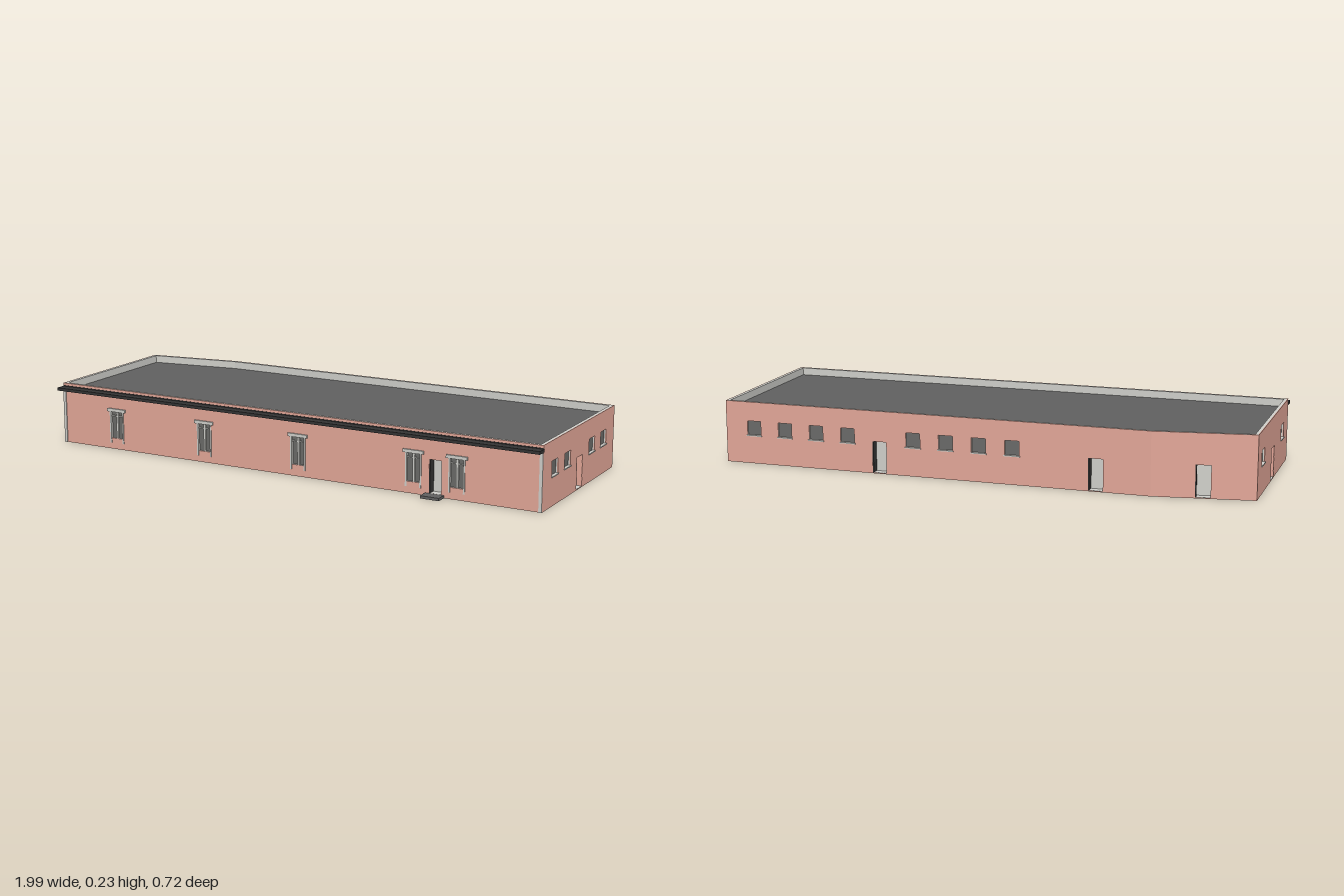
import * as THREE from 'three';

const paint = (name, color) => {
  const m = new THREE.MeshStandardMaterial({ color });
  m.name = name;
  return m;
};

const H = 0.233;          // wall height including parapet
const SKIN = 0.003;       // outer render thickness
const THICK = 0.014;      // full wall thickness
const REVEAL = 0.03;      // depth of the door recesses
const X = 0.993, ZF = 0.318;
// outer corners, ordered left to right as seen from outside
const CORNERS = [[-X, ZF], [X, ZF], [X, -0.355], [-0.63, -0.355], [-X, -0.299]];

export function createModel() {
  const wallPink = paint('wall pink', 0xe4a899);
  const lightGrey = paint('light grey', 0xd1d1cc);
  const ceilingGrey = paint('ceiling grey', 0xb0b0ab);
  const roofGrey = paint('roof grey', 0x616161);
  const glassGrey = paint('glass grey', 0x6b6b69);
  const darkGrey = paint('dark grey', 0x343434);

  const model = new THREE.Group();
  model.name = 'longFlatRoofBuilding';

  // box given by its centre and size
  const box = (parent, name, mat, x, y, z, w, h, d) => {
    const mesh = new THREE.Mesh(new THREE.BoxGeometry(w, h, d), mat);
    mesh.name = name;
    mesh.position.set(x, y, z);
    parent.add(mesh);
  };

  // one mitred wall layer between two depths, pierced by openings
  const wallLayer = (length, tanA, tanB, openings, outer, inner) => {
    const shape = new THREE.Shape([[0, 0], [length, 0], [length, H], [0, H]].map(p => new THREE.Vector2(...p)));
    for (const o of openings) {
      const a = o.u - o.w / 2, b = o.u + o.w / 2;
      shape.holes.push(new THREE.Path([[a, o.y0], [a, o.y1], [b, o.y1], [b, o.y0]].map(p => new THREE.Vector2(...p))));
    }
    const geo = new THREE.ExtrudeGeometry(shape, { depth: inner - outer, bevelEnabled: false });
    geo.translate(0, 0, -inner);
    const p = geo.attributes.position;
    for (let i = 0; i < p.count; i++) {
      const x = p.getX(i), depth = -p.getZ(i);
      if (x < 1e-5) p.setX(i, depth * tanA);
      else if (x > length - 1e-5) p.setX(i, length - depth * tanB);
    }
    geo.computeVertexNormals();
    return geo;
  };

  // recessed glass, closed off towards the inside
  const addPane = (g, o) => {
    const mid = (o.y0 + o.y1) / 2, h = o.y1 - o.y0;
    box(g, 'windowPane', glassGrey, o.u, mid, -0.0095, o.w, h, 0.003);
    box(g, 'innerPanel', lightGrey, o.u, mid, -0.0125, o.w, h, 0.003);
  };

  // small window with projecting sill
  const addWindow = (wall, o) => {
    const g = new THREE.Group();
    g.name = 'window';
    addPane(g, o);
    box(g, 'windowSill', lightGrey, o.u, o.y0 - 0.0015, -0.002, o.w + 0.007, 0.004, 0.012);
    wall.add(g);
  };

  // tall window with surround, mullion and lintel
  const addTallWindow = (wall, o) => {
    const g = new THREE.Group();
    g.name = 'tallWindow';
    addPane(g, o);
    box(g, 'mullion', lightGrey, o.u, (o.y0 + o.y1) / 2, -0.005, 0.008, o.y1 - o.y0, 0.006);
    box(g, 'transom', lightGrey, o.u, 0.128, -0.005, o.w, 0.004, 0.006);
    for (const s of [-1, 1]) {
      box(g, 'sideTrim', lightGrey, o.u + s * (o.w / 2 + 0.002), 0.086, 0, 0.006, 0.124, 0.006);
    }
    box(g, 'lintel', lightGrey, o.u, 0.152, 0.001, 0.08, 0.012, 0.01);
    wall.add(g);
  };

  // deeply recessed door with a dark jamb on its left
  const addDoor = (wall, o) => {
    const g = new THREE.Group();
    g.name = 'door';
    const mid = (o.y0 + o.y1) / 2, h = o.y1 - o.y0, z = -REVEAL / 2 - 0.0005;
    box(g, 'doorLeaf', lightGrey, o.u, mid, -REVEAL - 0.001, o.w, h, 0.003);
    box(g, 'darkJamb', darkGrey, o.u - o.w / 2 + 0.002, mid, z, 0.004, h, REVEAL);
    box(g, 'plainJamb', wallPink, o.u + o.w / 2 - 0.0005, mid, z, 0.001, h, REVEAL);
    box(g, 'doorHead', wallPink, o.u, o.y1 - 0.0005, z, o.w, 0.001, REVEAL);
    box(g, 'threshold', lightGrey, o.u, o.y0 - 0.001, z, o.w, 0.003, REVEAL);
    if (o.darkBack) box(g, 'doorBack', darkGrey, o.u, mid, -REVEAL - 0.0035, o.w, h, 0.002);
    wall.add(g);
  };

  const window_ = u => ({ u, w: 0.054, y0: 0.107, y1: 0.161, add: addWindow });
  const tall = u => ({ u, w: 0.052, y0: 0.042, y1: 0.146, add: addTallWindow });
  const door = (u, extra) => ({ u, w: 0.055, y0: 0.003, y1: 0.12, add: addDoor, ...extra });
  const walls = [
    ['frontWall', [...[-0.745, -0.35, 0.05, 0.512, 0.678].map(x => tall(x + X)),
      door(0.597 + X, { w: 0.048, y0: 0.01, y1: 0.132 })]],
    ['rightWall', [...[0.212, 0.097, -0.134, -0.249].map(z => window_(ZF - z)), door(ZF + 0.019)]],
    ['backWall', [...[0.88, 0.755, 0.63, 0.505, 0.25, 0.125, 0, -0.125].map(x => window_(X - x)),
      door(X - 0.38), door(X + 0.433)]],
    ['angledWall', [door(0.182)]],
    ['leftWall', [window_(0.103), door(0.303, { darkBack: true }), window_(0.503)]],
  ];

  const n = CORNERS.length;
  const heading = i => {
    const a = CORNERS[(i + n) % n], b = CORNERS[(i + 1) % n];
    return Math.atan2(a[1] - b[1], b[0] - a[0]);
  };
  // half-angle mitre at the start corner of wall i
  const mitre = i => {
    const turn = (heading(i) - heading(i - 1) + 4 * Math.PI) % (2 * Math.PI);
    return Math.tan(turn / 2);
  };

  walls.forEach(([name, openings], i) => {
    const a = CORNERS[i], b = CORNERS[(i + 1) % n];
    const length = Math.hypot(b[0] - a[0], b[1] - a[1]);
    const tanA = mitre(i), tanB = mitre((i + 1) % n);
    const wall = new THREE.Group();
    wall.name = name;
    wall.position.set(a[0], 0, a[1]);
    wall.rotation.y = heading(i);
    for (const [part, mat, d0, d1] of [['outerSkin', wallPink, 0, SKIN], ['innerLining', lightGrey, SKIN, THICK]]) {
      const mesh = new THREE.Mesh(wallLayer(length, tanA, tanB, openings, d0, d1), mat);
      mesh.name = part;
      wall.add(mesh);
    }
    openings.forEach(o => o.add(wall, o));
    model.add(wall);
  });

  // flat roof set below the parapet, with a paler ceiling under it
  const outline = new THREE.Shape(CORNERS.map(([x, z]) => new THREE.Vector2(x * 0.99, -z * 0.97)));
  for (const [name, mat, y, depth] of [['flatRoof', roofGrey, 0.202, 0.003], ['ceiling', ceilingGrey, 0.2, 0.002]]) {
    const geo = new THREE.ExtrudeGeometry(outline, { depth, bevelEnabled: false });
    geo.rotateX(-Math.PI / 2);
    const slab = new THREE.Mesh(geo, mat);
    slab.name = name;
    slab.position.y = y;
    model.add(slab);
  }

  // front canopy with its fixing band, door step and corner strips
  box(model, 'frontCanopy', darkGrey, 0, 0.215, 0.336, 1.99, 0.011, 0.037);
  box(model, 'canopyBand', darkGrey, 0, 0.215, ZF, 1.985, 0.018, 0.003);
  box(model, 'doorStep', roofGrey, 0.595, 0.005, 0.339, 0.072, 0.01, 0.042);
  for (const s of [-1, 1]) box(model, 'cornerStrip', lightGrey, s * 0.987, 0.103, 0.319, 0.012, 0.206, 0.004);

  return model;
}
